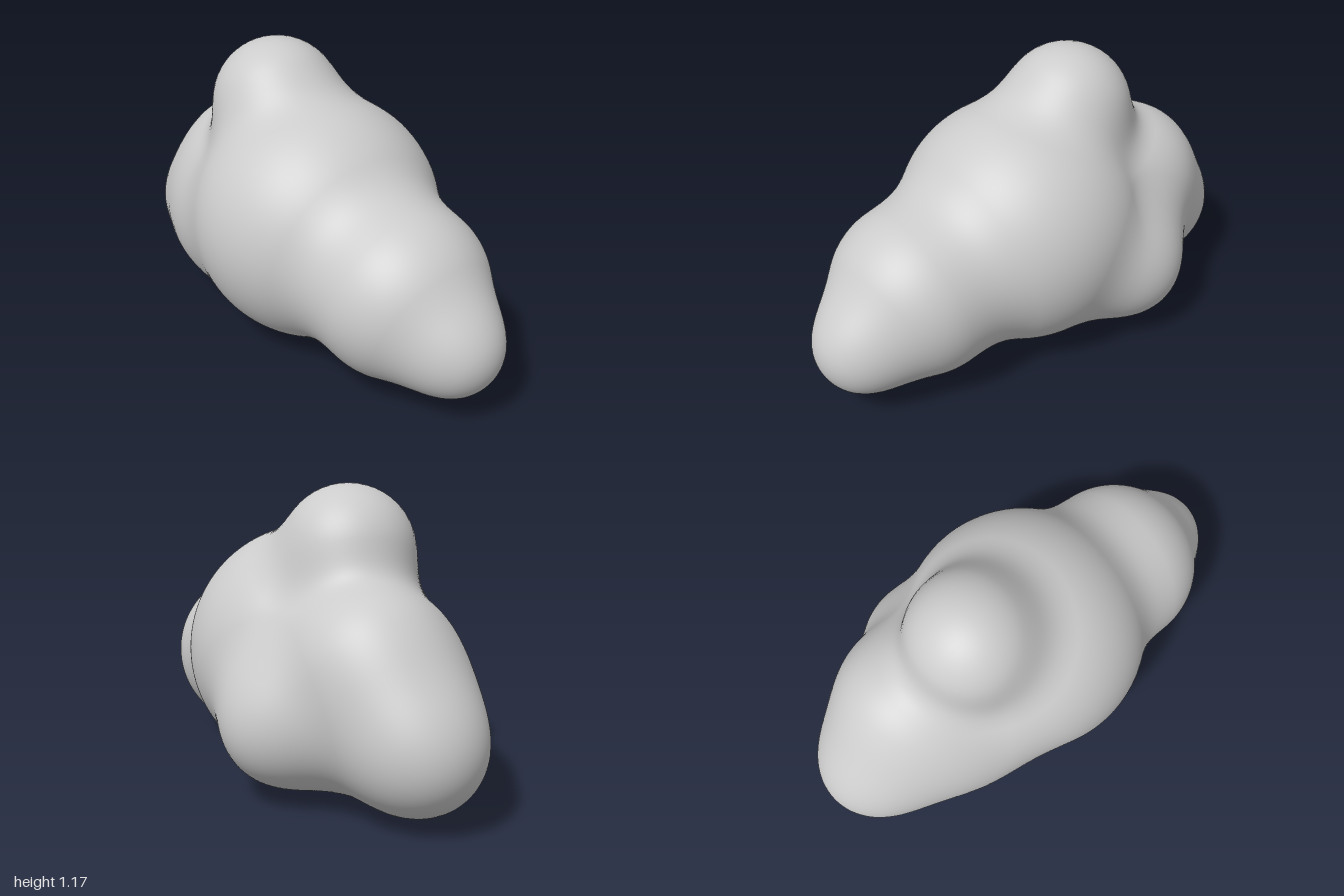
import * as THREE from 'three';

// Puffs of the cloud: x, y, z, radius, softness of the join
const PUFFS = [
  [0.02, 0.505, 0.01, 0.498, 0.1],      // main body
  [-0.4, 0.385, 0.045, 0.365, 0.17],    // right body
  [-0.54, 0.55, -0.04, 0.275, 0.2],     // right shoulder
  [-0.77, 0.288, 0.02, 0.227, 0.24],    // right tip
  [-0.3, 0.315, -0.27, 0.247, 0.15],    // back
  [-0.235, 0.92, 0.025, 0.26, 0.13],    // top
  [0.53, 0.4, -0.008, 0.347, 0.14],     // left shoulder
  [0.797, 0.29, -0.035, 0.2, 0.11],     // left tip
];

// Distance to the softly merged puffs
function distance(p) {
  let d = Infinity;
  for (const [x, y, z, r, blend] of PUFFS) {
    const e = Math.hypot(p.x - x, p.y - y, p.z - z) - r;
    const h = Math.max(blend - Math.abs(d - e), 0) / blend;
    d = Math.min(d, e) - h * h * blend / 4;
  }
  return d;
}

// Outward direction of the merged surface
function slope(p) {
  const e = 0.004, n = new THREE.Vector3(), q = new THREE.Vector3();
  for (const axis of ['x', 'y', 'z']) {
    q.copy(p)[axis] += e;
    const ahead = distance(q);
    q[axis] -= 2 * e;
    n[axis] = ahead - distance(q);
  }
  return n.normalize();
}

export function createModel() {
  const group = new THREE.Group();

  // A capsule lying along x, shrunk onto the merged puffs towards a short core line
  const geometry = new THREE.CapsuleGeometry(1, 1.5, 60, 180, 120);
  geometry.rotateZ(-Math.PI / 2);
  geometry.translate(0, 0.35, 0);
  const pos = geometry.attributes.position, nor = geometry.attributes.normal;
  const p = new THREE.Vector3(), core = new THREE.Vector3(), dir = new THREE.Vector3();
  for (let i = 0; i < pos.count; i++) {
    p.fromBufferAttribute(pos, i);
    core.set(THREE.MathUtils.clamp(p.x, -0.75, 0.75) * 0.55, 0.35, 0);
    dir.subVectors(core, p).normalize();
    for (let step = 0; step < 80; step++) {
      const d = distance(p);
      if (Math.abs(d) < 0.0003) break;
      p.addScaledVector(dir, d);
    }
    const n = slope(p);
    pos.setXYZ(i, p.x, p.y, p.z);
    nor.setXYZ(i, n.x, n.y, n.z);
  }

  // Rest on the ground, centred
  geometry.computeBoundingBox();
  const box = geometry.boundingBox, c = box.getCenter(new THREE.Vector3());
  geometry.translate(-c.x, -box.min.y, -c.z);

  const cloud = new THREE.Mesh(geometry, new THREE.MeshStandardMaterial({ color: 0xcccccc }));
  cloud.name = 'cloud';
  group.add(cloud);
  return group;
}
